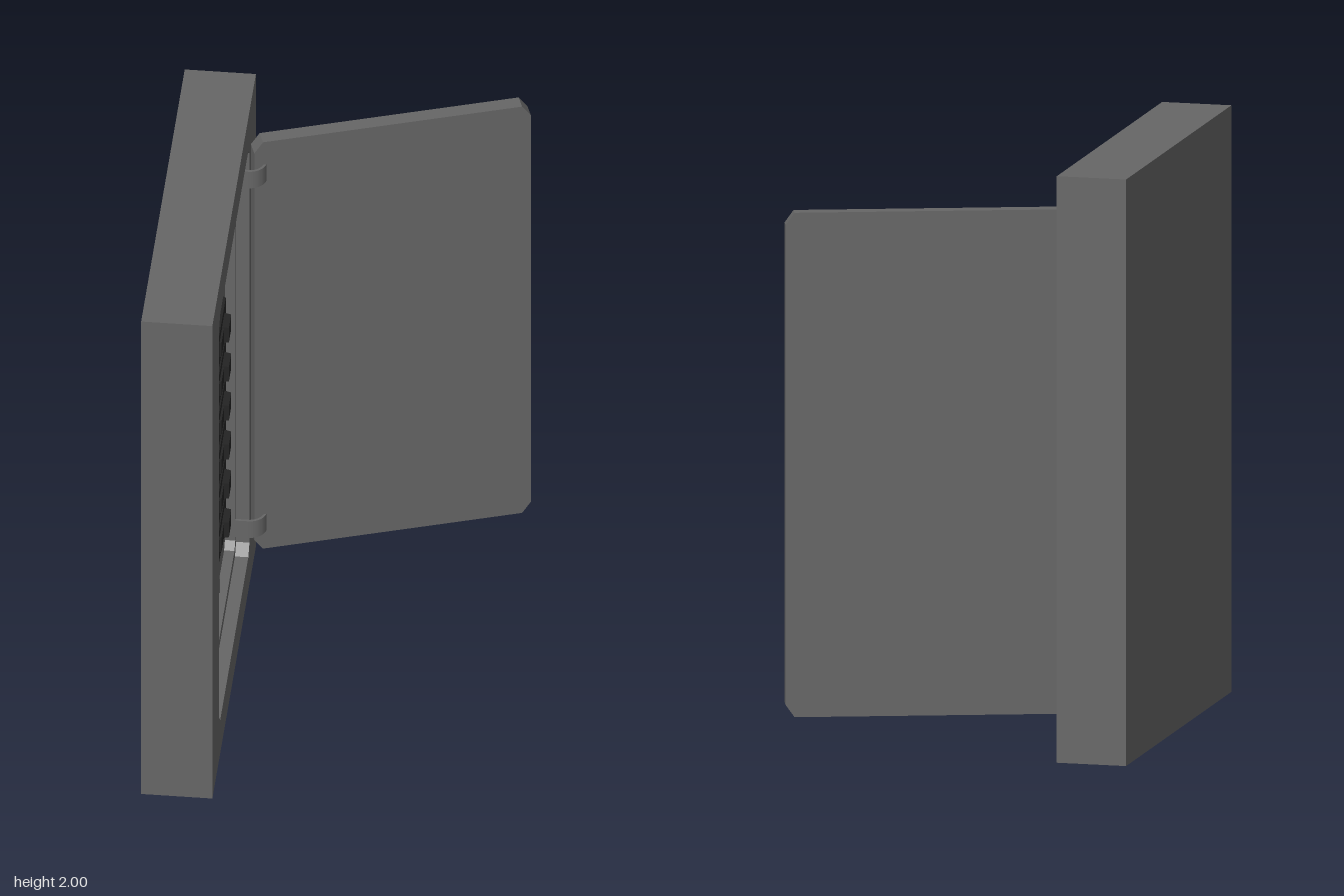
import * as THREE from 'three';

const grey = new THREE.MeshStandardMaterial({ color: 0x666666 });
grey.name = 'painted steel grey';
const black = new THREE.MeshStandardMaterial({ color: 0x242424 });
black.name = 'breaker black';

// Rectangle with cut corners, as a list of points
function outline(x0, x1, y0, y1, cx = 0, cy = cx) {
  if (!cx) return [[x0, y0], [x1, y0], [x1, y1], [x0, y1]].map(p => new THREE.Vector2(...p));
  return [[x0 + cx, y0], [x1 - cx, y0], [x1, y0 + cy], [x1, y1 - cy],
    [x1 - cx, y1], [x0 + cx, y1], [x0, y1 - cy], [x0, y0 + cy]].map(p => new THREE.Vector2(...p));
}

function slab(name, points, hole, from, to, material = grey) {
  const shape = new THREE.Shape(points);
  if (hole) shape.holes.push(new THREE.Path(hole));
  const geo = new THREE.ExtrudeGeometry(shape, { depth: to - from, bevelEnabled: false });
  const mesh = new THREE.Mesh(geo.translate(0, 0, from), material);
  mesh.name = name;
  return mesh;
}

// Box whose front face is drawn in by an inset, giving sloped sides
function block(name, x0, x1, y0, y1, from, to, inset = 0) {
  const w = x1 - x0, h = y1 - y0;
  let geo = new THREE.BoxGeometry(w, h, to - from);
  const p = geo.attributes.position;
  for (let i = 0; i < p.count; i++) {
    if (p.getZ(i) > 0) {
      p.setX(i, p.getX(i) * (1 - 2 * inset / w));
      p.setY(i, p.getY(i) * (1 - 2 * inset / h));
    }
  }
  geo = geo.toNonIndexed();
  geo.computeVertexNormals();
  geo.translate((x0 + x1) / 2, (y0 + y1) / 2, (from + to) / 2);
  const mesh = new THREE.Mesh(geo, black);
  mesh.name = name;
  return mesh;
}

function createBreaker(x, y) {
  const g = new THREE.Group();
  g.name = 'breaker';
  g.add(block('breakerBody', 0, 0.335, 0, 0.145, -0.43, -0.405, 0.007));
  g.add(block('switchBase', 0.125, 0.205, 0.043, 0.102, -0.41, -0.398));
  g.add(block('switchToggle', 0.205, 0.287, 0.038, 0.107, -0.41, -0.382, 0.004));
  g.position.set(x, y, 0);
  return g;
}

export function createModel() {
  const model = new THREE.Group();
  model.name = 'breakerPanel';

  // Cabinet, laid out facing +z and then turned to face +x
  const cabinet = new THREE.Group();
  cabinet.name = 'cabinet';
  cabinet.rotation.y = Math.PI / 2;
  const opening = outline(-0.553, 0.413, 0.14, 1.86, 0.035);
  const inner = outline(-0.527, 0.387, 0.175, 1.825, 0.025);
  cabinet.add(slab('cabinetShell', outline(-0.77, 0.62, 0, 2), opening, -0.58, -0.34));
  cabinet.add(slab('doorLedge', opening, inner, -0.57, -0.385));
  cabinet.add(slab('innerPanel', opening, null, -0.58, -0.42));

  // Main switch plate
  cabinet.add(block('mainPlate', -0.24, 0.112, 1.455, 1.65, -0.43, -0.405, 0.004));
  cabinet.add(block('mainPlateFace', -0.222, 0.094, 1.473, 1.632, -0.41, -0.398));

  // Two columns of six breakers
  for (const x of [-0.42, -0.053])
    for (let row = 0; row < 6; row++) cabinet.add(createBreaker(x, 0.35 + row * 0.165));
  model.add(cabinet);

  // Open door
  const door = slab('door', outline(-0.475, 0.475, 0.14, 1.86, 0.03, 0.042), null, -0.026, 0.026);
  door.position.set(0.117, 0, -0.598);
  door.rotation.y = 0.327;
  model.add(door);

  // Curved hinge straps from the ledge round to the door
  for (const y of [0.215, 1.695]) {
    const s = new THREE.Shape();
    s.moveTo(-0.385, 0.387);
    s.lineTo(-0.342, 0.387);
    s.absarc(-0.342, 0.445, 0.058, -Math.PI / 2, 0, false);
    s.lineTo(-0.293, 0.445);
    s.absarc(-0.342, 0.445, 0.049, 0, -Math.PI / 2, true);
    s.lineTo(-0.385, 0.396);
    const geo = new THREE.ExtrudeGeometry(s, { depth: 0.07, bevelEnabled: false, curveSegments: 8 });
    const hinge = new THREE.Mesh(geo.rotateX(-Math.PI / 2), grey);
    hinge.name = 'hinge';
    hinge.position.y = y;
    model.add(hinge);
  }
  return model;
}
